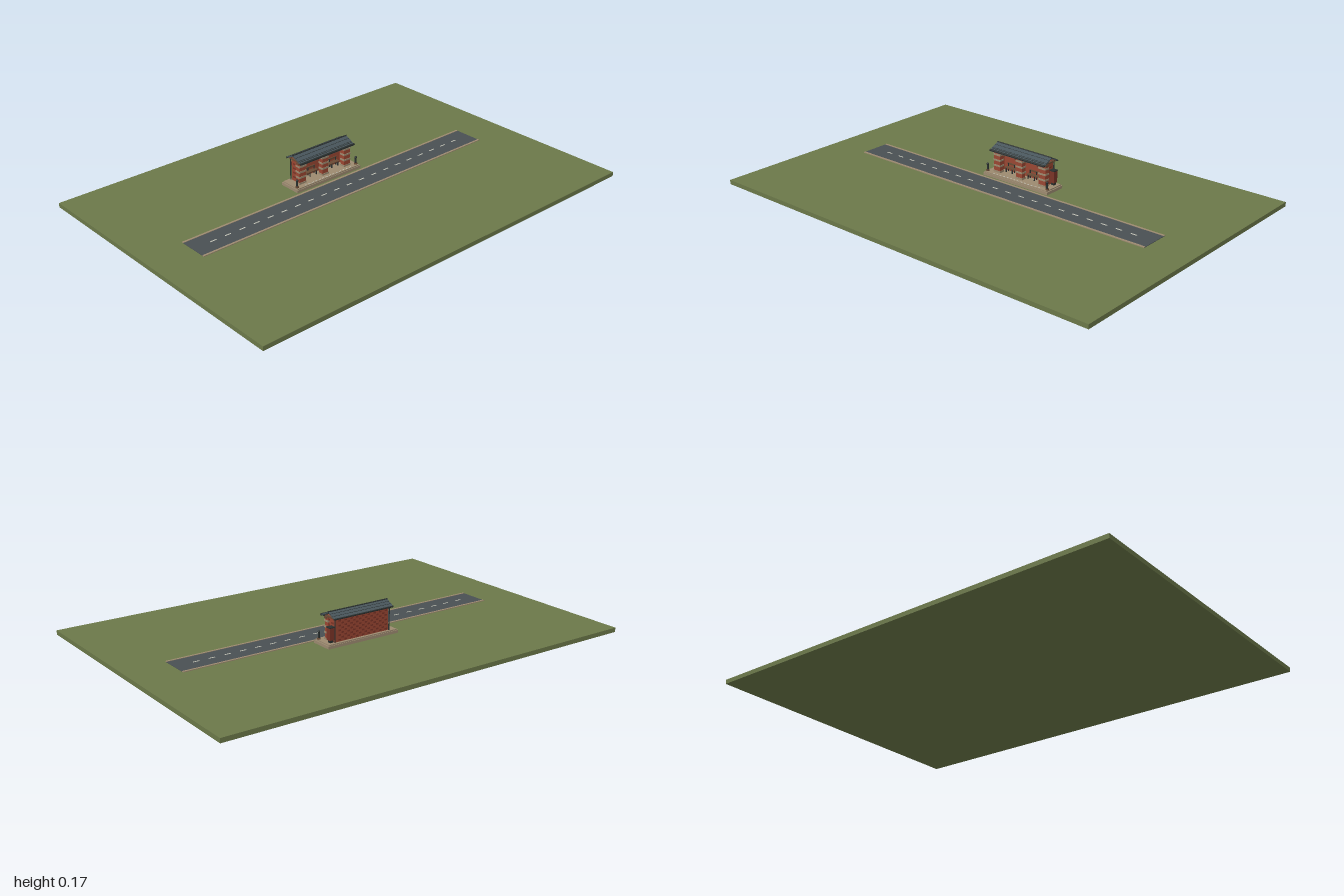
import * as THREE from 'three';

const paint = (name, color) => {
  const m = new THREE.MeshStandardMaterial({ color });
  m.name = name;
  return m;
};

export function createModel() {
  const grass = paint('grass green', 0x6b7849);
  const asphalt = paint('asphalt grey', 0x495053);
  const stone = paint('stone beige', 0x9c8a70);
  const white = paint('line white', 0xc4c4b8);
  const brick = paint('brick red', 0x9a4632);
  const darkBrick = paint('dark brick', 0x7a3427);
  const slate = paint('slate blue grey', 0x48555b);
  const iron = paint('iron black', 0x2a302f);
  const wood = paint('wood brown', 0x6a4a34);

  const model = new THREE.Group();
  model.name = 'roadsideShelter';

  // Box given by its min and max on each axis
  function box(name, mat, x0, x1, y0, y1, z0, z1, parent = model) {
    const m = new THREE.Mesh(new THREE.BoxGeometry(x1 - x0, y1 - y0, z1 - z0), mat);
    m.position.set((x0 + x1) / 2, (y0 + y1) / 2, (z0 + z1) / 2);
    m.name = name;
    parent.add(m);
    return m;
  }
  function rod(name, mat, r, length, x, y, z, alongX = false, parent = model) {
    const m = new THREE.Mesh(new THREE.CylinderGeometry(r, r, length, 10), mat);
    m.position.set(x, y, z);
    if (alongX) m.rotation.z = Math.PI / 2;
    m.name = name;
    parent.add(m);
    return m;
  }

  // Ground and road
  box('ground', grass, -1, 1, 0, 0.02, -0.7, 0.7);
  box('road', asphalt, -0.8, 0.8, 0.02, 0.022, -0.07, 0.07);
  for (const s of [-1, 1]) {
    box('kerb', stone, -0.8, 0.8, 0.02, 0.0235, s * 0.07 - 0.005, s * 0.07 + 0.005);
  }
  for (let i = 0; i < 20; i++) {
    const x = -0.7 + i * 0.0737;
    box('laneDash', white, x - 0.015, x + 0.015, 0.0215, 0.0228, -0.003, 0.003);
  }

  // Platform with paving strip along its front edge
  const shelter = new THREE.Group();
  shelter.name = 'shelter';
  model.add(shelter);
  const add = (...a) => box(...a, shelter);
  add('platformBase', stone, -0.185, 0.183, 0.02, 0.033, -0.195, -0.088);
  add('platformTop', stone, -0.18, 0.178, 0.033, 0.038, -0.192, -0.091);
  for (let i = 0; i < 14; i++) {
    const x = -0.13 + i * 0.02;
    add('pavingStud', white, x - 0.005, x + 0.005, 0.038, 0.0388, -0.1, -0.096);
  }

  // Brick walls
  add('backWall', brick, -0.14, 0.14, 0.038, 0.148, -0.18, -0.168);
  for (const s of [-1, 1]) {
    add('sideWall', brick, s * 0.135 - 0.006, s * 0.135 + 0.006, 0.038, 0.146, -0.179, -0.12);
  }
  // Staggered darker bricks on both faces of the back wall
  for (let row = 0; row < 10; row++) {
    const y = 0.042 + row * 0.0105;
    for (let i = 0; i < 9; i++) {
      const x = -0.128 + i * 0.0305 + (row % 2) * 0.0152;
      if (x > 0.125) continue;
      add('backBrick', darkBrick, x - 0.0065, x + 0.0065, y, y + 0.0075, -0.181, -0.179);
    }
    for (const s of [-1, 1]) {
      const z = row % 2 ? -0.162 : -0.139;
      add('sideBrick', darkBrick, s * 0.1415 - 0.001, s * 0.1415 + 0.001, y, y + 0.0075, z - 0.007, z + 0.007);
    }
  }

  // Front piers with stone bands
  for (const [x, w] of [[-0.13, 0.036], [0, 0.034], [0.13, 0.036]]) {
    add('pier', brick, x - w / 2, x + w / 2, 0.038, 0.14, -0.14, -0.118);
    for (const y of [0.038, 0.066, 0.092, 0.118]) {
      add('pierBand', stone, x - w / 2 - 0.002, x + w / 2 + 0.002, y, y + 0.008, -0.142, -0.116);
    }
  }

  // Benches and back rail inside each bay
  for (const s of [-1, 1]) {
    const x = s * 0.064;
    add('benchSeat', wood, x - 0.043, x + 0.043, 0.058, 0.062, -0.165, -0.143);
    add('benchBack', wood, x - 0.043, x + 0.043, 0.07, 0.078, -0.167, -0.163);
    for (const dx of [-0.036, 0, 0.036]) {
      add('benchLeg', iron, x + dx - 0.002, x + dx + 0.002, 0.038, 0.076, -0.164, -0.16);
      add('benchFoot', iron, x + dx - 0.002, x + dx + 0.002, 0.038, 0.058, -0.149, -0.145);
    }
    add('noticeFrame', iron, x - 0.037, x + 0.037, 0.119, 0.123, -0.168, -0.164);
    // Curved braces suggested by slanted struts under the front beam
    for (const d of [-1, 1]) {
      const b = add('brace', wood, x + d * 0.04 - 0.013, x + d * 0.04 + 0.013, 0.126, 0.13, -0.13, -0.126);
      b.rotation.z = d * 0.7;
    }
  }

  // Roof frame
  add('frontBeam', wood, -0.152, 0.152, 0.133, 0.141, -0.136, -0.118);
  add('rearBeam', wood, -0.15, 0.15, 0.142, 0.15, -0.186, -0.174);
  for (const x of [-0.145, -0.07, 0, 0.07, 0.145]) {
    add('tieBeam', wood, x - 0.004, x + 0.004, 0.141, 0.147, -0.186, -0.104);
  }
  // Roof slopes from a chevron section running along x
  const section = new THREE.Shape();
  [[0.098, 0.145], [0.153, 0.169], [0.196, 0.148], [0.196, 0.143], [0.153, 0.163], [0.098, 0.139]]
    .forEach(([a, b], i) => (i ? section.lineTo(a, b) : section.moveTo(a, b)));
  const roofGeo = new THREE.ExtrudeGeometry(section, { depth: 0.31, bevelEnabled: false });
  roofGeo.rotateY(Math.PI / 2);
  const roof = new THREE.Mesh(roofGeo, slate);
  roof.name = 'roof';
  roof.position.x = -0.155;
  shelter.add(roof);
  rod('ridge', iron, 0.0035, 0.312, 0, 0.168, -0.153, true, shelter);
  // Slate seams on both slopes
  for (const [z0, y0, z1, y1] of [[-0.098, 0.145, -0.153, 0.169], [-0.196, 0.148, -0.153, 0.169]]) {
    for (const t of [0.33, 0.67]) {
      rod('slateSeam', iron, 0.001, 0.31, 0, y0 + (y1 - y0) * t, z0 + (z1 - z0) * t, true, shelter);
    }
  }
  // Gutters, fascia and downpipe
  rod('frontGutter', iron, 0.005, 0.312, 0, 0.144, -0.101, true, shelter);
  rod('rearGutter', iron, 0.004, 0.312, 0, 0.145, -0.194, true, shelter);
  add('signBoard', iron, -0.15, 0.15, 0.139, 0.151, -0.122, -0.109);
  for (const s of [-1, 1]) {
    rod('downpipe', iron, 0.003, 0.106, s * 0.143, 0.091, -0.184, false, shelter);
  }

  // Red cabinet on the left end wall
  add('cabinet', darkBrick, 0.142, 0.166, 0.05, 0.104, -0.18, -0.157);
  add('cabinetTop', iron, 0.141, 0.168, 0.104, 0.108, -0.182, -0.155);
  add('cabinetFoot', iron, 0.146, 0.162, 0.038, 0.05, -0.176, -0.161);

  // Bollards at the front corners
  for (const x of [-0.173, 0.17]) {
    rod('bollard', iron, 0.0045, 0.032, x, 0.054, -0.105, false, shelter);
    rod('bollardBase', wood, 0.008, 0.006, x, 0.041, -0.105, false, shelter);
    const cap = new THREE.Mesh(new THREE.SphereGeometry(0.006, 10, 8), iron);
    cap.position.set(x, 0.071, -0.105);
    cap.name = 'bollardCap';
    shelter.add(cap);
  }
  return model;
}
